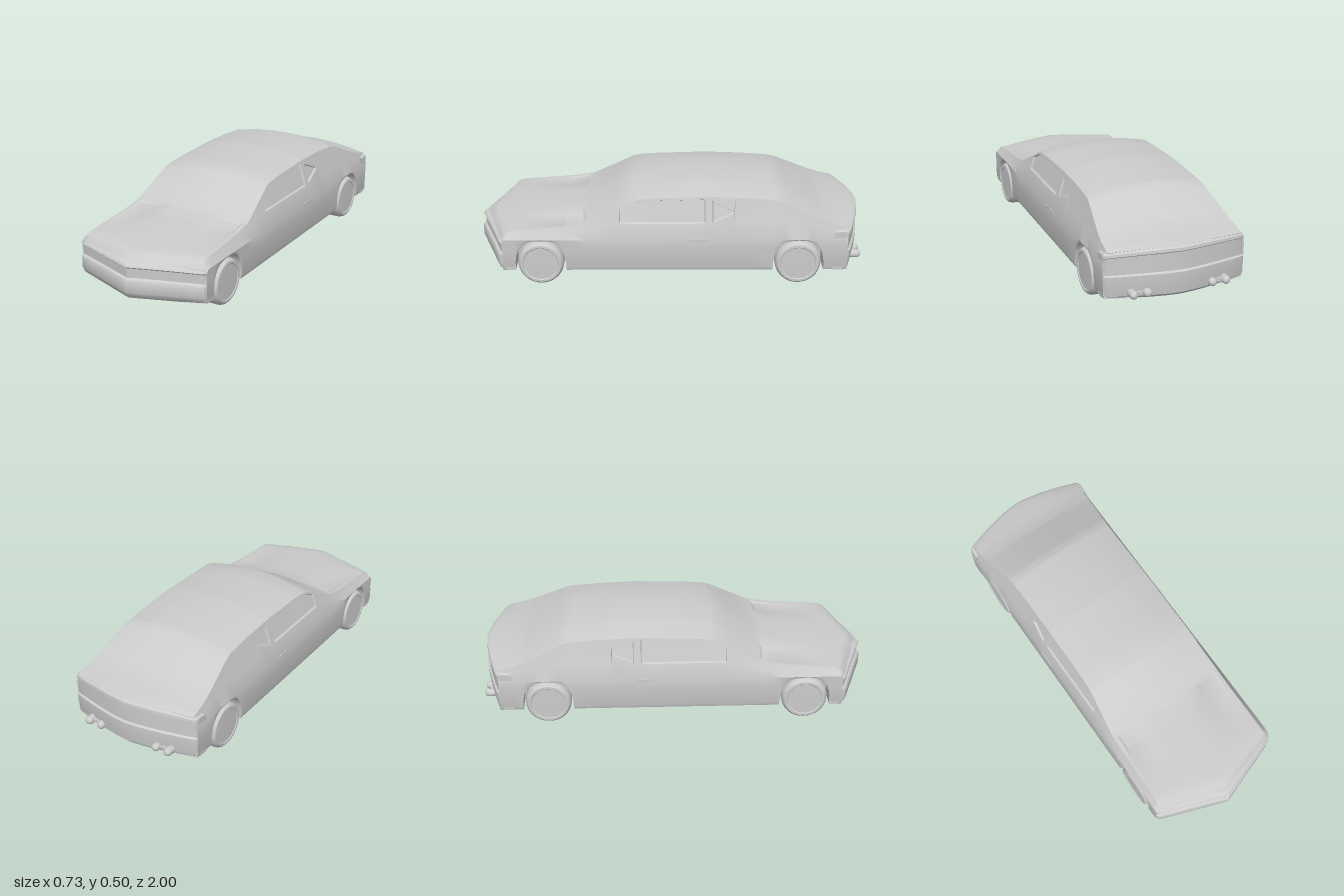
import * as THREE from 'three';
import { toCreasedNormals } from 'three/addons/utils/BufferGeometryUtils.js';

const material = new THREE.MeshStandardMaterial({ color: 0xcccccc });
const W = 0.36, FLOOR = 0.08, AXLE = 0.66, WELL = 0.24;
const mix = THREE.MathUtils.lerp;

// Linear lookup in rows [z, a, b, ...] sorted from front to back
function lookup(rows, z) {
  if (z >= rows[0][0]) return rows[0].slice(1);
  for (let i = 1; i < rows.length; i++) {
    if (z >= rows[i][0]) {
      const t = (rows[i - 1][0] - z) / (rows[i - 1][0] - rows[i][0]);
      return rows[i].slice(1).map((v, k) => mix(rows[i - 1][k + 1], v, t));
    }
  }
  return rows[rows.length - 1].slice(1);
}

// Closed rings of [x, y, z], joined in order and capped at both ends
function loft(name, rings, crease = 0.5) {
  const n = rings[0].length, pos = rings.flat(2), index = [];
  for (let i = 0; i < rings.length - 1; i++) {
    for (let j = 0; j < n; j++) {
      const a = i * n + j, b = i * n + (j + 1) % n, c = a + n, d = b + n;
      index.push(a, c, b, b, c, d);
    }
  }
  [0, rings.length - 1].forEach((r, end) => {
    const hub = pos.length / 3;
    for (let k = 0; k < 3; k++) pos.push(rings[r].reduce((s, p) => s + p[k], 0) / n);
    for (let j = 0; j < n; j++) {
      const a = r * n + j, b = r * n + (j + 1) % n;
      if (end) index.push(hub, b, a); else index.push(hub, a, b);
    }
  });
  const geo = new THREE.BufferGeometry();
  geo.setAttribute('position', new THREE.Float32BufferAttribute(pos, 3));
  geo.setIndex(index);
  const mesh = new THREE.Mesh(toCreasedNormals(geo.toNonIndexed(), crease), material);
  mesh.name = name;
  return mesh;
}

// z, centre height, roof/hood edge height, edge half width
const OUTLINE = [
  [0.965, 0.257, 0.25, 0.345], [0.945, 0.277, 0.266, 0.34], [0.92, 0.293, 0.28, 0.337],
  [0.87, 0.3, 0.287, 0.335], [0.52, 0.328, 0.314, 0.33], [0.44, 0.345, 0.332, 0.328],
  [0.22, 0.475, 0.443, 0.304], [0.19, 0.486, 0.452, 0.302], [0.08, 0.495, 0.46, 0.3],
  [-0.2, 0.505, 0.467, 0.3], [-0.4, 0.495, 0.46, 0.3], [-0.54, 0.483, 0.448, 0.302],
  [-0.58, 0.47, 0.438, 0.306], [-0.78, 0.37, 0.35, 0.333], [-0.84, 0.35, 0.333, 0.337],
  [-0.95, 0.333, 0.317, 0.34], [-0.978, 0.326, 0.308, 0.34],
];
// z, how far the sides sit behind the centre line
const SWEEP = [[1, 0.13], [0.92, 0.09], [0.8, 0], [0.52, 0], [0.45, 0.03], [0.2, 0.03],
  [-0.1, 0], [-0.8, 0], [-1, -0.08]];

function archHeight(z) {
  const u = Math.abs(Math.abs(z) - AXLE) / 0.13;
  return u >= 1 ? FLOOR : FLOOR + 0.165 * Math.pow(1 - u ** 2.8, 1 / 2.8);
}

function bodyRing(z) {
  const [top, edgeY, edgeX] = lookup(OUTLINE, z);
  const arch = archHeight(z), shoulder = Math.min(0.255, edgeY - 0.012), h = edgeY - shoulder;
  const inQuarter = z < -0.22 && z > -0.33, inDoor = z < 0.28 && z > -0.18;
  // Recessed glass between the shoulder and the roof edge
  let glassLow = Math.min(0.335, shoulder + 0.6 * h), glassHigh = edgeY - 0.06 * h;
  if (inQuarter) {
    const t = (-0.22 - z) / 0.11;
    glassLow = mix(0.34, 0.385, t);
    glassHigh = mix(0.44, 0.393, t);
  }
  const depth = inQuarter || inDoor ? 0.01 : 0;
  const sideX = y => mix(W, edgeX, (y - shoulder) / h);
  const half = [[0, FLOOR], [WELL, FLOOR], [WELL, arch], [W - 0.008, arch],
    [W - 0.001, Math.max(0.1, arch + 0.004)], [W, Math.max(0.2, arch + 0.006)], [W + 0.002, shoulder],
    [sideX(glassLow), glassLow], [sideX(glassLow) - depth, glassLow + depth / 2],
    [sideX(glassHigh) - depth, glassHigh - depth / 2], [sideX(glassHigh), glassHigh], [edgeX, edgeY]];
  // Crowned hood, roof and deck, with two shallow hollows at the back of the hood
  const hollow = z < 0.8 && z > 0.455 ? 0.009 * (0.8 - z) / 0.345 : 0;
  for (const [f, d] of [[0.94, 0], [0.9, 1], [0.58, 1], [0.52, 0], [0.25, 0], [0, 0]]) {
    half.push([edgeX * f, mix(top, edgeY, f ** 2.2) - hollow * d]);
  }
  const mirrored = half.slice(1, -1).reverse().map(([x, y]) => [-x, y]);
  const [sweep] = lookup(SWEEP, z);
  return [...half, ...mirrored].map(([x, y]) =>
    [x, y, z - sweep * Math.pow(Math.abs(x) / W, z < 0 ? 1.5 : 1)]);
}

function body() {
  const zs = OUTLINE.map(r => r[0]).concat([0.8, 0.46, 0.45, 0.35, 0, -0.1, -0.7, -0.9]);
  for (const e of [0.28, -0.18, -0.22, -0.33]) zs.push(e + 0.002, e - 0.002);
  for (const u of [0, 0.25, 0.5, 0.7, 0.85, 0.94, 0.985, 1]) {
    for (const s of [-1, 1]) for (const c of [AXLE, -AXLE]) zs.push(c + s * u * 0.13);
  }
  const sorted = [...new Set(zs.map(z => +z.toFixed(4)))].sort((a, b) => b - a);
  return loft('body', sorted.map(bodyRing));
}

// Full-width end piece: a [z, y] profile carried across x along a swept line
function endPiece(name, profile, side, sweep, power, drop) {
  const xs = [-1, -0.985, -0.95, -0.8, -0.6, -0.4, -0.2, 0, 0.2, 0.4, 0.6, 0.8, 0.95, 0.985, 1];
  const rings = xs.map(f => {
    const a = Math.abs(f), inset = a === 1 ? 0.012 : a > 0.98 ? 0.004 : 0;
    return profile.map(([z, y]) => [
      side * f * (W - 0.001),
      mix(y, 0.17, inset * 4) - drop * a * a * Math.max(0, (y - 0.1) / 0.2),
      side * (z - sweep * a ** power - inset),
    ]);
  });
  return loft(name, rings);
}

function wheel(x, z) {
  const profile = [[0, -0.052], [0.088, -0.052], [0.092, -0.056], [0.104, -0.055], [0.113, -0.046],
    [0.118, -0.03], [0.118, 0.03], [0.113, 0.046], [0.104, 0.055], [0.092, 0.056], [0.088, 0.052], [0, 0.052]];
  const geo = new THREE.LatheGeometry(profile.map(p => new THREE.Vector2(...p)), 32);
  const mesh = new THREE.Mesh(toCreasedNormals(geo.toNonIndexed(), 0.6), material);
  mesh.rotation.z = Math.PI / 2;
  mesh.position.set(x, 0.118, z);
  mesh.name = (z > 0 ? 'front' : 'rear') + (x > 0 ? 'Left' : 'Right') + 'Wheel';
  return mesh;
}

function box(name, size, at) {
  const mesh = new THREE.Mesh(new THREE.BoxGeometry(...size), material);
  mesh.position.set(...at);
  mesh.name = name;
  return mesh;
}

export function createModel() {
  const car = new THREE.Group();
  car.name = 'car';
  car.add(body());

  // Pointed nose with a recessed grille band above the bumper
  car.add(endPiece('noseAndBumper', [[0.93, 0.078], [0.975, 0.078], [0.992, 0.098], [1, 0.115],
    [1, 0.17], [0.995, 0.179], [0.983, 0.185], [0.984, 0.233], [0.993, 0.241], [0.987, 0.25],
    [0.965, 0.26], [0.93, 0.255]], 1, 0.13, 1, 0.008));

  // Curved tail with a recessed light band
  car.add(endPiece('tailAndBumper', [[0.93, 0.078], [0.975, 0.078], [0.988, 0.092], [0.998, 0.16],
    [0.998, 0.2], [0.988, 0.207], [0.987, 0.297], [0.996, 0.304], [0.994, 0.318], [0.98, 0.326],
    [0.93, 0.32]], -1, 0.08, 1.5, 0.018));

  for (const s of [1, -1]) {
    for (const z of [AXLE, -AXLE]) car.add(wheel(s * 0.306, z));
    car.add(box('doorHandle', [0.008, 0.012, 0.1], [s * 0.361, 0.252, -0.15]));

    // Twin exhaust tips
    for (const x of [0.165, 0.235]) {
      const tip = new THREE.Mesh(new THREE.CapsuleGeometry(0.021, 0.04, 6, 16), material);
      tip.rotation.x = Math.PI / 2;
      tip.position.set(s * x, 0.112, -0.957);
      tip.name = 'exhaustTip';
      car.add(tip);
    }
    car.add(box('exhaustBracket', [0.07, 0.016, 0.04], [s * 0.2, 0.112, -0.95]));
  }
  return car;
}
